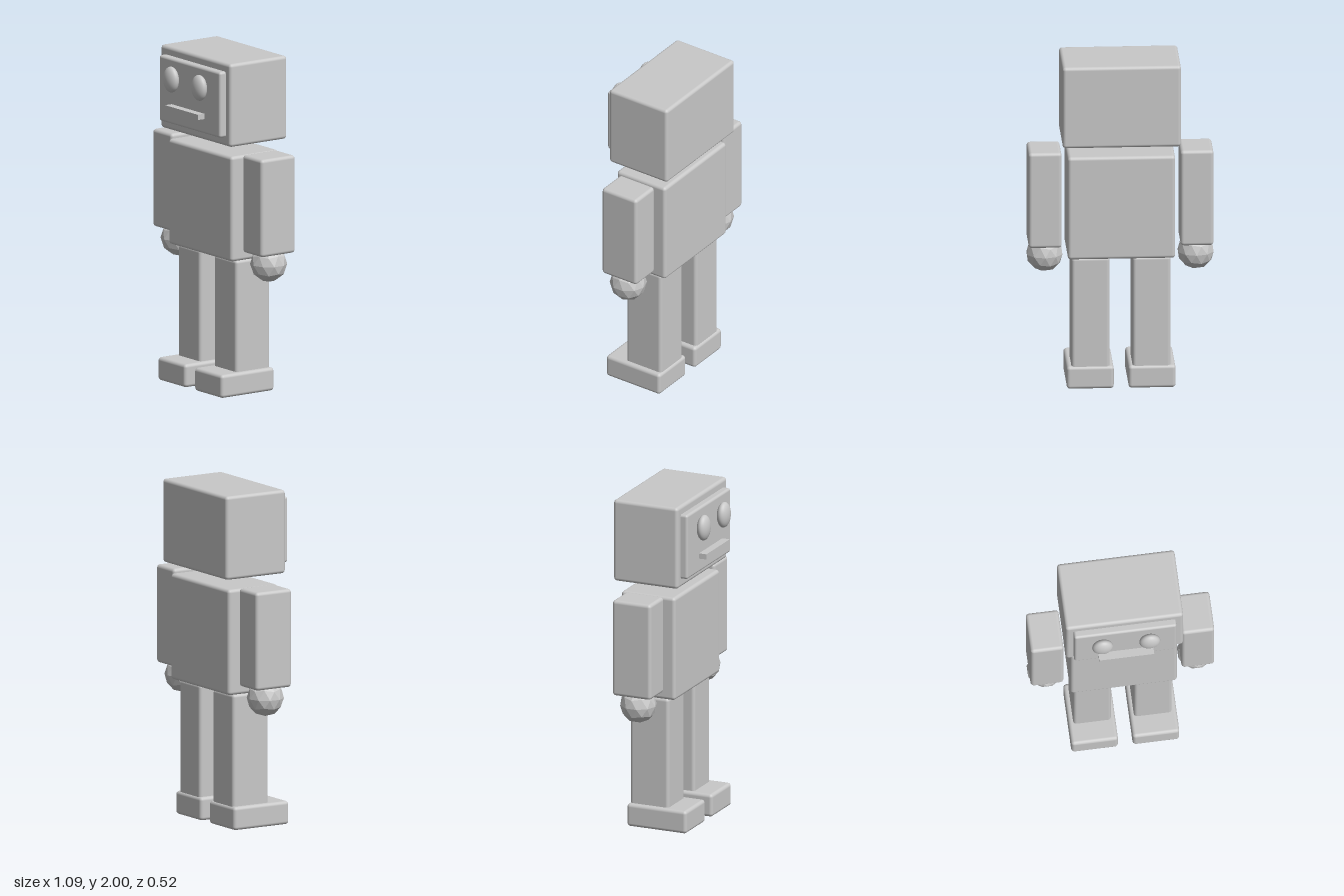
import * as THREE from 'three';
import { RoundedBoxGeometry } from 'three/addons/geometries/RoundedBoxGeometry.js';

export function createModel() {
  const robot = new THREE.Group();
  robot.name = 'robot';
  const grey = new THREE.MeshStandardMaterial({ color: 0xc8c8c8 });
  grey.name = 'grey';
  const facetedGrey = grey.clone();
  facetedGrey.name = 'facetedGrey';
  facetedGrey.flatShading = true;

  const add = (name, geometry, x, y, z, material = grey) => {
    const mesh = new THREE.Mesh(geometry, material);
    mesh.name = name;
    mesh.position.set(x, y, z);
    robot.add(mesh);
    return mesh;
  };

  // Box with softened edges, given by its lower and upper limits on each axis
  const block = (name, [x0, x1], [y0, y1], [z0, z1], radius = 0.02) =>
    add(name, new RoundedBoxGeometry(x1 - x0, y1 - y0, z1 - z0, 3, radius),
      (x0 + x1) / 2, (y0 + y1) / 2, (z0 + z1) / 2);

  // Head, face plate and mouth
  block('head', [-0.347, 0.347], [1.503, 2], [-0.263, 0.152]);
  block('facePlate', [-0.302, 0.302], [1.557, 1.95], [0.1, 0.195], 0.015);
  add('mouth', new THREE.BoxGeometry(0.324, 0.032, 0.048), 0, 1.665, 0.229);

  // Torso
  block('torso', [-0.315, 0.315], [0.807, 1.436], [-0.227, 0.12]);

  // Mirrored parts
  for (const side of [1, -1]) {
    const label = side > 0 ? 'left' : 'right';
    const span = (inner, outer) => (side > 0 ? [inner, outer] : [-outer, -inner]);

    const eye = add(label + 'Eye', new THREE.SphereGeometry(1, 24, 16), side * 0.139, 1.835, 0.226);
    eye.scale.set(0.062, 0.077, 0.036);

    block(label + 'Arm', span(0.348, 0.542), [0.866, 1.45], [-0.18, 0.068]);
    block(label + 'Leg', span(0.067, 0.291), [0.1, 0.805], [-0.18, 0.068]);
    block(label + 'Foot', span(0.043, 0.319), [0, 0.138], [-0.19, 0.194]);

    // Faceted ball hand, turned so that a corner points straight down
    const hand = add(label + 'Hand', new THREE.IcosahedronGeometry(0.109, 1),
      side * 0.443, 0.8, -0.055, facetedGrey);
    hand.rotation.z = 0.5536;
  }

  return robot;
}
